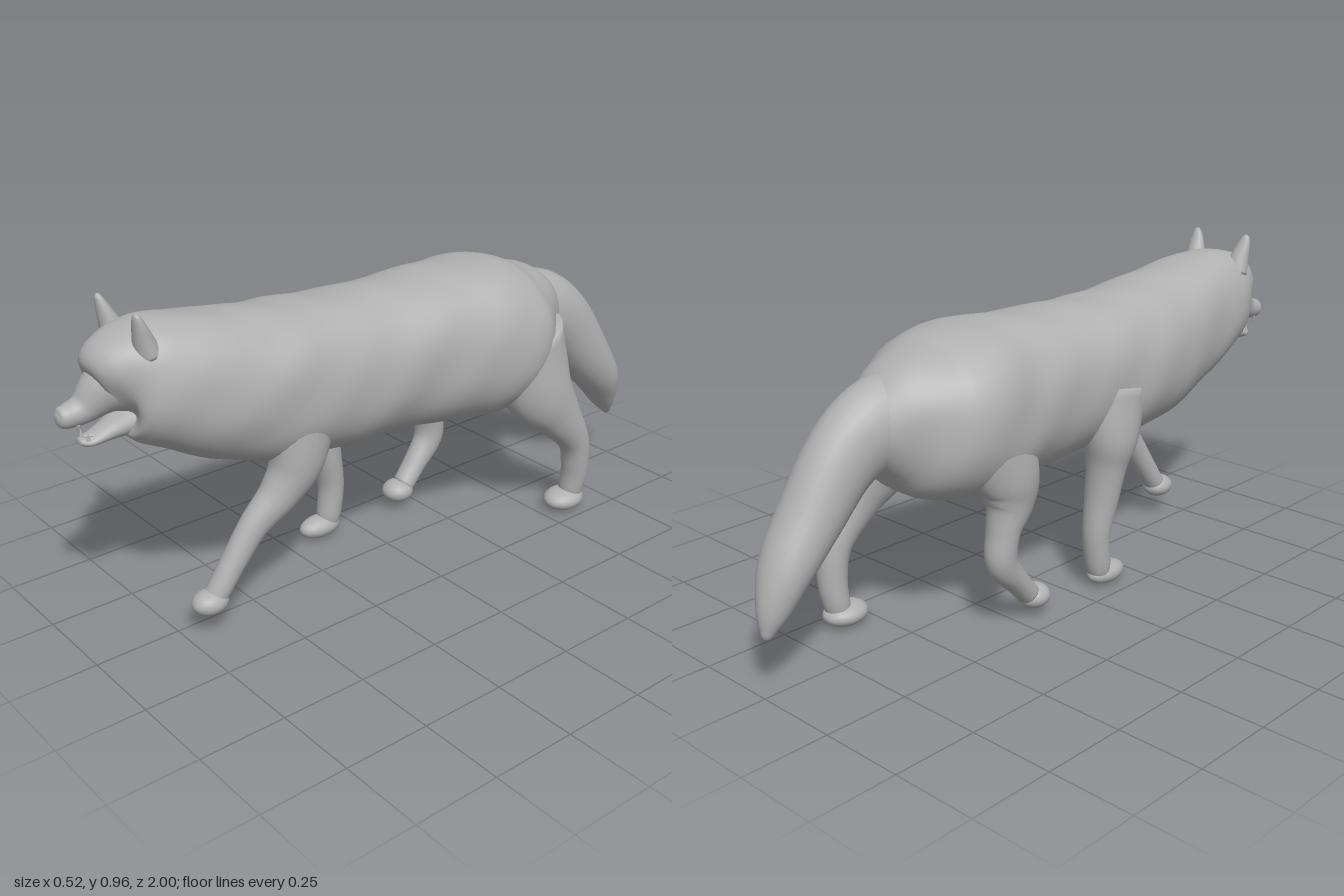
import * as THREE from 'three';

const fur = new THREE.MeshStandardMaterial({ color: 0xb0b0b0 });
fur.name = 'grey fur';

// Smooth closed loft through sections [x, y, z, sideRadius, normalRadius].
// square < 1 gives boxier rings; shag adds gentle waves to the coat.
function loft(name, sections, { steps = 6, sides = 28, square = 1, shag = 0 } = {}) {
  const spline = (pts) => new THREE.CatmullRomCurve3(pts, false, 'catmullrom', 0.5);
  const path = spline(sections.map((s) => new THREE.Vector3(s[0], s[1], s[2])));
  const radii = spline(sections.map((s) => new THREE.Vector3(s[3], s[4], 0)));
  const rings = (sections.length - 1) * steps;
  const side = new THREE.Vector3(1, 0, 0);
  const pos = [], idx = [];
  const bend = (v) => Math.sign(v) * Math.pow(Math.abs(v), square);

  for (let i = 0; i <= rings; i++) {
    const t = i / rings;
    const c = path.getPoint(t), r = radii.getPoint(t);
    const normal = path.getTangent(t).cross(side).normalize();
    for (let j = 0; j < sides; j++) {
      const a = (j / sides) * Math.PI * 2;
      const wave = 1 + shag * (Math.sin(c.z * 27 + 3 * Math.sin(a * 2)) + 0.7 * Math.sin(a * 5 + c.z * 13));
      const p = c.clone()
        .addScaledVector(side, bend(Math.cos(a)) * r.x * wave)
        .addScaledVector(normal, bend(Math.sin(a)) * r.y * wave);
      pos.push(p.x, p.y, p.z);
      if (i < rings) {
        const k = (j + 1) % sides, u = i * sides, v = u + sides;
        idx.push(u + j, u + k, v + j, u + k, v + k, v + j);
      }
    }
  }
  // End caps
  const first = path.getPoint(0), last = path.getPoint(1);
  const n = pos.length / 3, end = rings * sides;
  pos.push(first.x, first.y, first.z, last.x, last.y, last.z);
  for (let j = 0; j < sides; j++) {
    const k = (j + 1) % sides;
    idx.push(n, k, j, n + 1, end + j, end + k);
  }
  const g = new THREE.BufferGeometry();
  g.setAttribute('position', new THREE.Float32BufferAttribute(pos, 3));
  g.setIndex(idx);
  g.computeVertexNormals();
  const mesh = new THREE.Mesh(g, fur);
  mesh.name = name;
  return mesh;
}

function ellipsoid(name, [x, y, z], [rx, ry, rz]) {
  const mesh = new THREE.Mesh(new THREE.SphereGeometry(1, 24, 16), fur);
  mesh.name = name;
  mesh.position.set(x, y, z);
  mesh.scale.set(rx, ry, rz);
  return mesh;
}

function leg(name, sections, pawCentre, pawRadii) {
  const g = new THREE.Group();
  g.name = name;
  g.add(loft(name + 'Limb', sections, { sides: 24 }), ellipsoid(name + 'Paw', pawCentre, pawRadii));
  return g;
}

function tooth(x, y, z, length, down) {
  const mesh = new THREE.Mesh(new THREE.ConeGeometry(0.006, length, 8), fur);
  mesh.name = 'tooth';
  mesh.position.set(x, y, z);
  if (down) mesh.rotation.x = Math.PI;
  return mesh;
}

export function createModel() {
  const model = new THREE.Group();
  model.name = 'wolf';

  // Trunk, neck and skull: [z, centre x, half width, top, bottom]
  const trunk = [
    [-0.64, 0.0, 0.08, 0.72, 0.54],
    [-0.55, 0.0, 0.15, 0.795, 0.46],
    [-0.45, 0.0, 0.23, 0.83, 0.4],
    [-0.33, 0.0, 0.25, 0.855, 0.375],
    [-0.18, -0.005, 0.23, 0.857, 0.385],
    [0.0, -0.02, 0.215, 0.85, 0.41],
    [0.2, -0.035, 0.212, 0.85, 0.405],
    [0.4, -0.035, 0.205, 0.867, 0.43],
    [0.55, -0.035, 0.185, 0.887, 0.48],
    [0.7, -0.045, 0.163, 0.91, 0.55],
    [0.79, -0.053, 0.142, 0.915, 0.595],
    [0.845, -0.06, 0.108, 0.885, 0.635],
    [0.885, -0.068, 0.055, 0.81, 0.67],
  ];
  model.add(loft('body', trunk.map(([z, x, w, top, low]) =>
    [x, (top + low) / 2, z, w, (top - low) / 2]),
  { sides: 48, square: 0.88, shag: 0.009 }));

  // Tail
  model.add(loft('tail', [
    [0.0, 0.65, -0.48, 0.12, 0.13],
    [0.01, 0.63, -0.6, 0.105, 0.128],
    [0.02, 0.565, -0.705, 0.092, 0.108],
    [0.023, 0.43, -0.815, 0.088, 0.088],
    [0.017, 0.325, -0.9, 0.078, 0.07],
    [0.005, 0.23, -0.955, 0.045, 0.045],
    [0.0, 0.165, -0.985, 0.012, 0.012],
  ]));

  // Legs in mid stride
  model.add(leg('leftFrontLeg', [
    [0.07, 0.61, 0.37, 0.09, 0.12],
    [0.09, 0.46, 0.395, 0.07, 0.085],
    [0.085, 0.37, 0.45, 0.055, 0.06],
    [0.075, 0.29, 0.535, 0.04, 0.044],
    [0.068, 0.2, 0.6, 0.036, 0.037],
    [0.062, 0.125, 0.65, 0.035, 0.034],
    [0.06, 0.095, 0.675, 0.03, 0.03],
  ], [0.06, 0.097, 0.678], [0.045, 0.036, 0.054]));

  model.add(leg('rightFrontLeg', [
    [-0.155, 0.62, 0.15, 0.095, 0.13],
    [-0.187, 0.47, 0.125, 0.078, 0.09],
    [-0.184, 0.38, 0.112, 0.062, 0.06],
    [-0.178, 0.28, 0.1, 0.053, 0.049],
    [-0.175, 0.17, 0.082, 0.043, 0.04],
    [-0.175, 0.07, 0.092, 0.038, 0.038],
    [-0.175, 0.035, 0.105, 0.03, 0.03],
  ], [-0.175, 0.035, 0.128], [0.042, 0.034, 0.07]));

  model.add(leg('leftHindLeg', [
    [0.13, 0.62, -0.4, 0.11, 0.16],
    [0.172, 0.46, -0.45, 0.085, 0.12],
    [0.192, 0.36, -0.52, 0.063, 0.08],
    [0.198, 0.25, -0.597, 0.05, 0.051],
    [0.195, 0.15, -0.617, 0.044, 0.043],
    [0.186, 0.07, -0.613, 0.04, 0.038],
    [0.183, 0.035, -0.602, 0.03, 0.03],
  ], [0.18, 0.036, -0.588], [0.057, 0.035, 0.07]));

  model.add(leg('rightHindLeg', [
    [-0.14, 0.6, -0.35, 0.095, 0.14],
    [-0.168, 0.46, -0.29, 0.077, 0.105],
    [-0.175, 0.38, -0.285, 0.06, 0.08],
    [-0.175, 0.3, -0.312, 0.05, 0.048],
    [-0.175, 0.21, -0.318, 0.044, 0.048],
    [-0.17, 0.13, -0.255, 0.038, 0.036],
    [-0.165, 0.07, -0.2, 0.036, 0.033],
  ], [-0.165, 0.06, -0.18], [0.049, 0.036, 0.05]));

  // Face
  const head = new THREE.Group();
  head.name = 'head';
  head.add(loft('muzzle', [
    [-0.06, 0.765, 0.815, 0.1, 0.1],
    [-0.07, 0.735, 0.875, 0.066, 0.068],
    [-0.08, 0.7, 0.925, 0.042, 0.042],
    [-0.085, 0.688, 0.965, 0.034, 0.033],
    [-0.087, 0.686, 0.99, 0.026, 0.027],
    [-0.087, 0.686, 1.0, 0.01, 0.01],
  ]));
  head.add(loft('lowerJaw', [
    [-0.065, 0.65, 0.8, 0.065, 0.045],
    [-0.072, 0.626, 0.87, 0.04, 0.026],
    [-0.076, 0.61, 0.925, 0.03, 0.014],
    [-0.078, 0.614, 0.95, 0.013, 0.009],
  ]));
  head.add(ellipsoid('tongue', [-0.075, 0.626, 0.905], [0.018, 0.006, 0.035]));
  for (const s of [-1, 1]) {
    head.add(tooth(-0.083 + s * 0.024, 0.652, 0.955, 0.03, true));
    head.add(tooth(-0.077 + s * 0.019, 0.628, 0.932, 0.024, false));
    head.add(ellipsoid('eye', [-0.069 + s * 0.069, 0.77, 0.859], [0.011, 0.008, 0.008]));
    // Ears lean slightly outward and narrow to a rounded tip
    const x = -0.057 + s * 0.088;
    head.add(loft(s > 0 ? 'leftEar' : 'rightEar', [
      [x - s * 0.012, 0.84, 0.79, 0.045, 0.036],
      [x - s * 0.004, 0.885, 0.803, 0.032, 0.027],
      [x + s * 0.002, 0.925, 0.815, 0.023, 0.017],
      [x + s * 0.006, 0.95, 0.822, 0.014, 0.01],
      [x + s * 0.007, 0.96, 0.824, 0.004, 0.004],
    ], { sides: 18 }));
  }
  model.add(head);
  return model;
}
